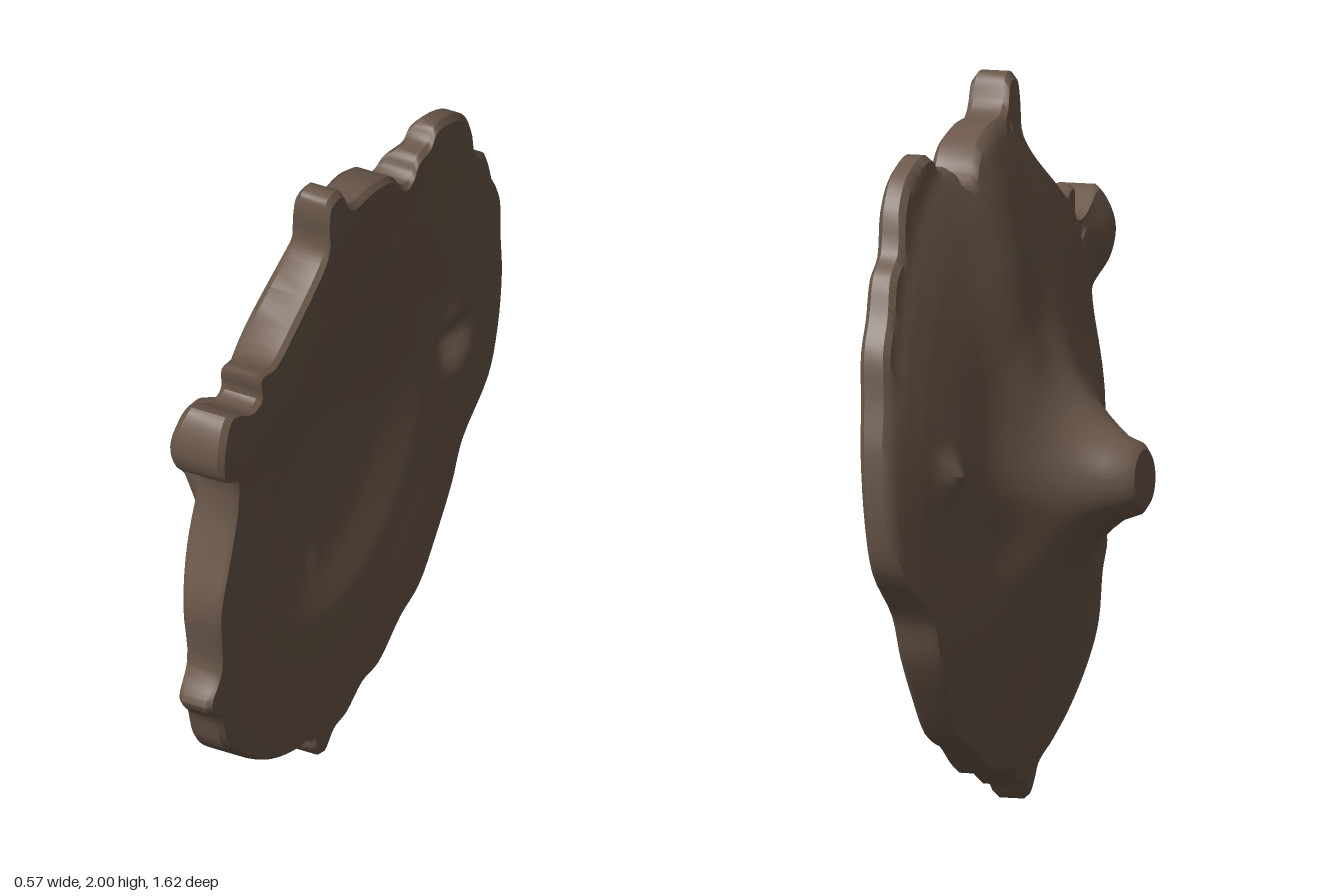
import * as THREE from 'three';
import { toCreasedNormals } from 'three/addons/utils/BufferGeometryUtils.js';

const CZ = 0.04, CY = 0.92; // axis of the boss

// Ragged outline as [z, y], clockwise seen from +x, starting at the top spur
const OUTLINE = [
  [0.22, 2.0], [0.16, 2.0], [0.12, 1.93], [0.08, 1.9], [-0.02, 1.89], [-0.12, 1.86], [-0.17, 1.82],
  [-0.2, 1.78], [-0.24, 1.755], [-0.27, 1.77], [-0.29, 1.81], [-0.355, 1.825], [-0.385, 1.86],
  [-0.515, 1.82], [-0.585, 1.74], [-0.62, 1.62], [-0.685, 1.565], [-0.727, 1.46], [-0.775, 1.37],
  [-0.79, 1.235], [-0.81, 1.08], [-0.8, 0.89], [-0.76, 0.75], [-0.63, 0.61], [-0.58, 0.49],
  [-0.5, 0.36], [-0.41, 0.245], [-0.31, 0.2], [-0.19, 0.117], [-0.1, 0.11], [-0.01, 0.06],
  [0.06, 0.05], [0.11, 0.003], [0.155, 0.05], [0.17, 0.09], [0.3, 0.13], [0.42, 0.19],
  [0.58, 0.31], [0.68, 0.41], [0.73, 0.535], [0.79, 0.615], [0.74, 0.705], [0.76, 0.92],
  [0.715, 1.09], [0.685, 1.235], [0.705, 1.36], [0.785, 1.405], [0.81, 1.475], [0.8, 1.555],
  [0.76, 1.61], [0.63, 1.545], [0.58, 1.555], [0.59, 1.635], [0.5, 1.62], [0.4, 1.675],
  [0.245, 1.79], [0.22, 1.84], [0.23, 1.95],
];

// Depth profiles as [radius, x]
const FRONT = [[0, 0.145], [0.22, 0.148], [0.3, 0.155], [0.37, 0.17], [0.45, 0.189], [0.6, 0.207], [0.85, 0.218]];
const BACK = [[0, -0.28], [0.08, -0.28], [0.1, -0.265], [0.12, -0.21], [0.16, -0.155], [0.2, -0.112], [0.25, -0.075],
  [0.3, -0.05], [0.4, -0.015], [0.5, 0.008], [0.6, 0.03], [0.7, 0.053], [0.8, 0.083], [0.85, 0.103], [1, 0.115]];

function sample(profile, r) {
  for (let i = 1; i < profile.length; i++) {
    const [r0, x0] = profile[i - 1], [r1, x1] = profile[i];
    if (r <= r1) return x0 + (x1 - x0) * (r - r0) / (r1 - r0);
  }
  return profile[profile.length - 1][1];
}

const spot = (z, y, z0, y0, size, power = 2) => Math.exp(-((Math.hypot(z - z0, y - y0) / size) ** power));

// Radius that is circular at the boss and follows the oval rim further out
function ovalRadius(z, y) {
  const r = Math.hypot(z - CZ, y - CY);
  const shift = 0.035 * THREE.MathUtils.smoothstep(r, 0.09, 0.2);
  const near = Math.hypot(z - CZ - shift, y - CY);
  const oval = 0.85 * Math.hypot((z + 0.03) / 0.78, (y - 0.97) / 0.915);
  return THREE.MathUtils.lerp(near, oval, THREE.MathUtils.smoothstep(r, 0.25, 0.65));
}

// Hollow side: shallow tilted dish with a punched dent and faint marks
function frontX(z, y) {
  return sample(FRONT, ovalRadius(z, y)) - 0.06 * z + 0.042 * (y - 0.95)
    - 0.04 * spot(z, y, -0.565, 0.99, 0.065, 3)
    + 0.01 * spot(z, y, -0.56, 1.08, 0.05)
    - 0.01 * spot(z, y, 0.12, 0.7, 0.035)
    - 0.015 * spot(z, y, 0.48, 1.2, 0.12)
    + 0.012 * spot(z, y, 0.78, 1.48, 0.13);
}

// Outer side: flared boss, radial ripples, flatter -z half, bulge behind the dent, thick side spur
function backX(z, y) {
  const r = Math.hypot(z - CZ, y - CY), a = Math.atan2(y - CY, z - CZ);
  const ripple = 0.005 * THREE.MathUtils.smoothstep(r, 0.12, 0.35) * Math.sin(7 * a + 5 * r);
  return sample(BACK, ovalRadius(z, y)) - 0.06 * z + 0.035 * (y - 0.95) + ripple
    + 0.035 * THREE.MathUtils.smoothstep(-z, 0.05, 0.35)
    - 0.035 * spot(z, y, -0.55, 1.0, 0.045)
    - 0.05 * spot(z, y, 0.78, 1.48, 0.13);
}

function shieldGeometry() {
  const curve = new THREE.CatmullRomCurve3(
    OUTLINE.map(([z, y]) => new THREE.Vector3(0, y, z)), true, 'centripetal');
  const n = OUTLINE.length * 4;
  const rim = curve.getPoints(n).slice(0, n);

  // Rings: fixed radii near the boss, then blending out to the ragged rim
  const inner = [0, 0.08, 0.1, 0.12, 0.16, 0.2, 0.25, 0.3, 0.35, 0.4].map((r) => ({ r }));
  const outer = Array.from({ length: 20 }, (_, i) => ({ t: (i + 1) / 20 * 0.97 }));
  const rings = [...inner, ...outer];
  const path = [
    ...rings.map((k) => ({ ...k, side: 'front' })),
    { t: 1, side: 'front', inset: 0.015 },
    { t: 1, side: 'back', inset: 0.015 },
    ...rings.slice().reverse().map((k) => ({ ...k, side: 'back' })),
  ];

  const pos = [], index = [];
  for (const { r, t, side, inset = 0 } of path) {
    for (const p of rim) {
      const dz = p.z - CZ, dy = p.y - CY, R = Math.hypot(dz, dy);
      const rad = r !== undefined ? r : 0.4 + (R - 0.4) * t;
      const z = CZ + dz / R * rad, y = CY + dy / R * rad;
      pos.push(side === 'front' ? frontX(z, y) - inset : backX(z, y) + inset, y, z);
    }
  }
  const last = path.length - 2;
  for (let i = 0; i <= last; i++) {
    for (let j = 0; j < n; j++) {
      const k = (j + 1) % n;
      const a = i * n + j, b = a + n, c = (i + 1) * n + k, d = i * n + k;
      if (i < last) index.push(a, c, b);
      if (i > 0) index.push(a, d, c);
    }
  }
  const g = new THREE.BufferGeometry();
  g.setAttribute('position', new THREE.Float32BufferAttribute(pos, 3));
  g.setIndex(index);
  return toCreasedNormals(g, 0.6);
}

export function createModel() {
  const wood = new THREE.MeshStandardMaterial({ color: 0x6b584a });
  wood.name = 'weathered brown';
  const shield = new THREE.Mesh(shieldGeometry(), wood);
  shield.name = 'brokenShield';
  const group = new THREE.Group();
  group.name = 'batteredRoundShield';
  group.add(shield);
  return group;
}
